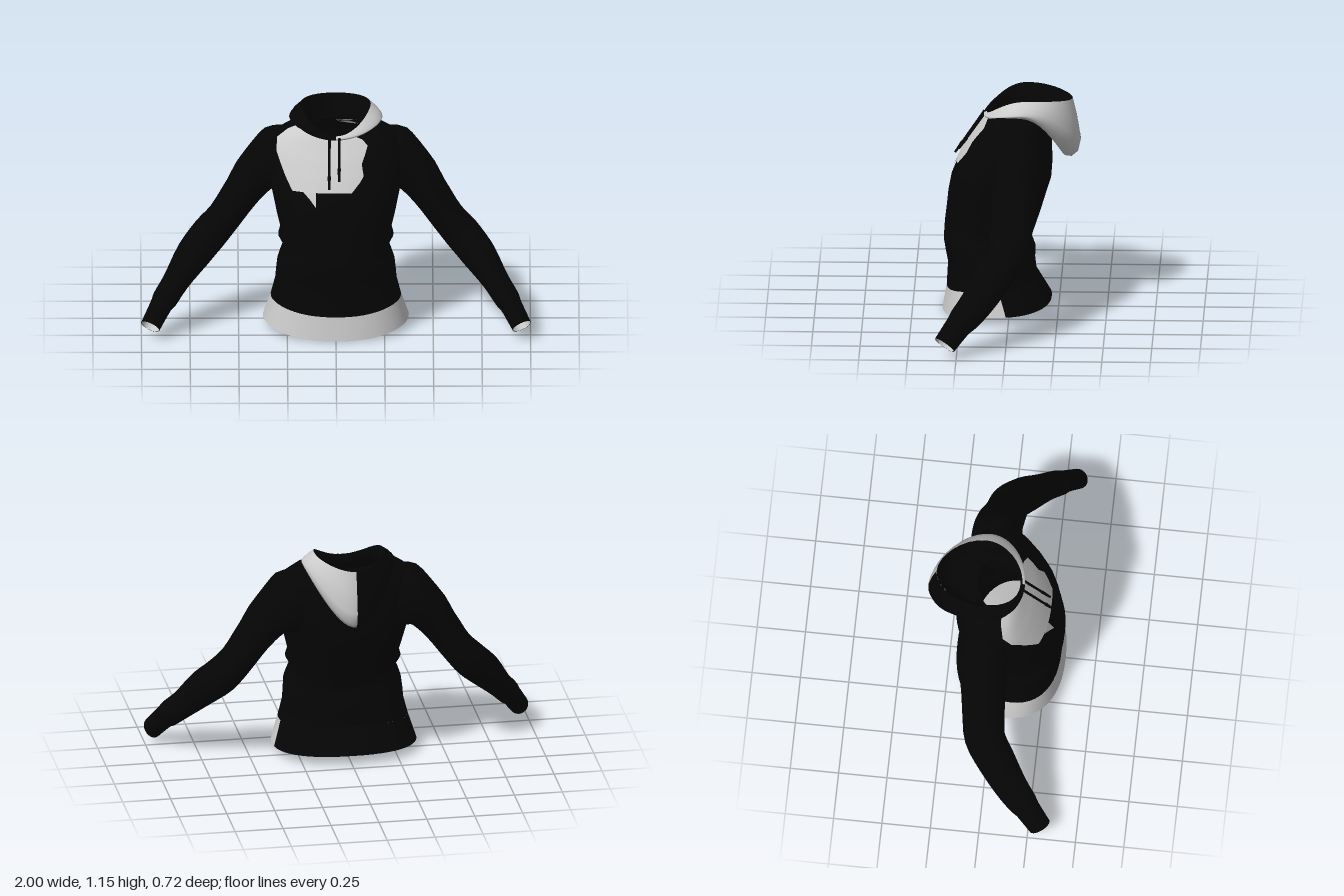
import * as THREE from 'three';

const DARK = 0x050505, GREY = 0xcccccc;
const mat = (color, side = THREE.DoubleSide) => new THREE.MeshStandardMaterial({ color, side });
const range = (a, b, n) => Array.from({ length: n + 1 }, (_, i) => a + (b - a) * i / n);
const power = (s, p) => Math.sign(s) * Math.abs(s) ** p;

// Skin a list of equally long rows of points
function loft(rows, closed = false) {
  const n = rows[0].length, index = [];
  for (let r = 0; r < rows.length - 1; r++) {
    for (let c = 0; c < (closed ? n : n - 1); c++) {
      const d = (c + 1) % n, a = r * n, b = a + n;
      index.push(a + c, a + d, b + d, a + c, b + d, b + c);
    }
  }
  const g = new THREE.BufferGeometry().setFromPoints(rows.flat());
  g.setIndex(index);
  g.computeVertexNormals();
  return g;
}

function add(group, name, geometry, color, side) {
  const m = new THREE.Mesh(geometry, mat(color, side));
  m.name = name;
  group.add(m);
  return m;
}

// Torso sections: height at the sides, half width, front z, back z, front lift, back lift
const BODY = [
  [0.045, 0.375, 0.345, -0.215, -0.045, 0.01],
  [0.17, 0.335, 0.325, -0.137, -0.045, 0.015],
  [0.26, 0.312, 0.318, -0.128, -0.01, 0],
  [0.31, 0.308, 0.33, -0.132, 0, 0],
  [0.37, 0.302, 0.34, -0.11, 0, 0],
  [0.41, 0.288, 0.338, -0.12, 0, 0],
  [0.455, 0.27, 0.335, -0.135, 0, 0],
  [0.5, 0.296, 0.33, -0.15, 0, 0],
  [0.54, 0.285, 0.325, -0.163, 0, 0],
  [0.62, 0.305, 0.317, -0.187, 0, 0],
  [0.7, 0.322, 0.302, -0.212, 0, 0],
  [0.78, 0.34, 0.268, -0.218, 0, 0],
  [0.88, 0.35, 0.215, -0.215, 0, 0],
  [0.96, 0.345, 0.17, -0.2, -0.01, 0],
  [1.02, 0.315, 0.14, -0.18, -0.03, 0],
  [1.06, 0.25, 0.125, -0.155, -0.045, -0.01],
  [1.08, 0.19, 0.115, -0.13, -0.055, -0.035],
];
const HEIGHTS = BODY.map(r => r[0]);

function section(v) {
  let i = 0;
  while (i < BODY.length - 2 && v > BODY[i + 1][0]) i++;
  const t = (v - BODY[i][0]) / (BODY[i + 1][0] - BODY[i][0]);
  return BODY[i].map((a, k) => a + (BODY[i + 1][k] - a) * t);
}

// Point on the torso; angle 0 is the front, pi/2 the model's left
function bodyPoint(angle, v, grow = 0) {
  const [y, w, zf, zb, lf, lb] = section(v);
  const c = Math.cos(angle), mid = (zf + zb) / 2;
  return new THREE.Vector3(
    (w + grow) * power(Math.sin(angle), 0.87),
    y + c * c * (c > 0 ? lf : lb),
    mid + ((zf - zb) / 2 + grow) * power(c, 0.87));
}
const bodyPatch = (angles, heights) => heights.map(v => angles.map(a => bodyPoint(a, v)));

// Point just outside the torso front at a given x
function frontPoint(x, v) {
  const s = THREE.MathUtils.clamp(x / section(v)[1], -0.99, 0.99);
  return bodyPoint(Math.asin(power(s, 1 / 0.87)), v, 0.007);
}

function buildTorso(g) {
  const full = range(0, 2 * Math.PI, 48).slice(0, -1), side = Math.PI / 2 + 0.15;
  add(g, 'torso', loft(bodyPatch(full, HEIGHTS.slice(1)), true), DARK);
  const hem = [0.045, 0.1, 0.17];
  add(g, 'hemFront', loft(bodyPatch(range(-side, side, 30), hem)), GREY);
  add(g, 'hemBack', loft(bodyPatch(range(side, 2 * Math.PI - side, 24), hem)), DARK);

  // Hem lining: turns inward from the lower edge to a smaller oval opening
  const edge = full.map(a => bodyPoint(a, 0.045, -0.002));
  const opening = full.map(a => new THREE.Vector3(
    0.22 * Math.sin(a), 0.1 - 0.025 * Math.cos(a), 0.08 + 0.165 * Math.cos(a)));
  add(g, 'hemLining', loft([opening, edge], true), GREY);

  // Chest panel: height, right edge, left edge
  const panel = [
    [0.785, -0.22, 0.08], [0.83, -0.245, 0.12], [0.86, -0.26, 0.14], [0.92, -0.285, 0.13],
    [0.96, -0.3, 0.145], [1.02, -0.295, 0.16], [1.06, -0.24, 0.13], [1.078, -0.19, 0.1],
  ];
  const tail = [[0.715, -0.102, -0.1], [0.75, -0.13, -0.1], [0.785, -0.165, -0.1]];
  for (const [name, rows] of [['chestPanel', panel], ['chestPanelTail', tail]]) {
    add(g, name, loft(rows.map(([v, a, b]) => range(a, b, 16).map(x => frontPoint(x, v)))), GREY);
  }
}

// Sleeve stations: centre x, y, z, radius across, radius in depth
const SLEEVE = [
  [0.18, 0.915, -0.04, 0.14, 0.1], [0.285, 0.865, -0.045, 0.178, 0.128],
  [0.392, 0.803, -0.042, 0.122, 0.124], [0.48, 0.69, -0.03, 0.097, 0.115],
  [0.575, 0.55, -0.02, 0.088, 0.108], [0.647, 0.467, -0.005, 0.094, 0.105],
  [0.73, 0.378, 0.06, 0.09, 0.1], [0.825, 0.255, 0.15, 0.067, 0.087],
  [0.88, 0.185, 0.215, 0.064, 0.077], [0.9, 0.158, 0.24, 0.056, 0.068],
  [0.955, 0.07, 0.31, 0.051, 0.06],
];

function sleeveRows(s, from, scale) {
  const path = new THREE.CatmullRomCurve3(SLEEVE.map(p => new THREE.Vector3(s * p[0], p[1], p[2])));
  const size = new THREE.CatmullRomCurve3(SLEEVE.map(p => new THREE.Vector3(p[3], p[4], 0)));
  return range(from, 1, Math.round(30 * (1 - from))).map(t => {
    const p = path.getPoint(t), r = size.getPoint(t), dir = path.getTangent(t);
    const b = dir.clone().cross(new THREE.Vector3(0, 0, 1)).normalize();
    const c = b.clone().cross(dir);
    return range(0, 2 * Math.PI, 24).slice(0, -1).map(a => p.clone()
      .addScaledVector(b, r.x * scale * Math.sin(a))
      .addScaledVector(c, r.y * scale * Math.cos(a)));
  });
}

// Hood rings: front y z, side x y z, back y z; from the seam over the rim to the lining
const HOOD = [
  [1.02, 0.125, 0.2, 1.055, -0.03, 1.03, -0.17],
  [1.025, 0.132, 0.22, 1.068, -0.04, 0.94, -0.235],
  [1.028, 0.134, 0.232, 1.074, -0.055, 0.845, -0.265],
  [1.03, 0.135, 0.238, 1.08, -0.062, 0.812, -0.285],
  [1.031, 0.135, 0.24, 1.084, -0.066, 0.808, -0.318],
  [1.033, 0.135, 0.238, 1.09, -0.07, 0.835, -0.35],
  [1.036, 0.133, 0.232, 1.1, -0.074, 0.9, -0.365],
  [1.04, 0.128, 0.215, 1.12, -0.08, 1.02, -0.345],
  [1.042, 0.12, 0.18, 1.146, -0.085, 1.118, -0.322],
  [1.035, 0.112, 0.162, 1.12, -0.05, 1.07, -0.295],
  [1.02, 0.11, 0.152, 1.08, -0.02, 0.98, -0.25],
  [1.0, 0.115, 0.155, 1.04, 0, 1.05, -0.11],
];
const RIM = 8;

function hoodPoint([fy, fz, sx, sy, sz, by, bz], a) {
  const c = Math.cos(a), k = Math.abs(c), front = c > 0;
  return new THREE.Vector3(
    sx * Math.sin(a) * (front ? 1 : 1 - 0.15 * k * k),
    sy + ((front ? fy : by) - sy) * k * k,
    sz + ((front ? fz : bz) - sz) * k);
}

function buildHood(g) {
  const hood = new THREE.Group();
  hood.name = 'hood';
  const part = (rings, a, b) => loft(rings.map(r => range(a, b, 32).map(t => hoodPoint(r, t))));
  add(hood, 'hoodLeft', part(HOOD.slice(0, RIM + 1), 0, Math.PI), GREY);
  add(hood, 'hoodRight', part(HOOD.slice(0, RIM + 1), Math.PI, 2 * Math.PI), DARK);
  add(hood, 'hoodLining', part(HOOD.slice(RIM), 0, 2 * Math.PI), DARK);
  g.add(hood);
}

// Straight cords hanging off the neck, with a thicker tip
function buildCords(g) {
  for (const [x, y, z] of [[-0.033, 0.81, 0.284], [0.018, 0.845, 0.262]]) {
    const top = new THREE.Vector3(x, 1.035, 0.132), end = new THREE.Vector3(x - 0.002, y, z);
    const dir = top.clone().sub(end), length = dir.length();
    const cord = new THREE.Group();
    cord.name = 'drawstring';
    cord.position.copy(end);
    cord.quaternion.setFromUnitVectors(new THREE.Vector3(0, 1, 0), dir.normalize());
    add(cord, 'cord', new THREE.CylinderGeometry(0.007, 0.006, length, 8).translate(0, length / 2, 0), DARK);
    add(cord, 'cordTip', new THREE.CylinderGeometry(0.009, 0.005, 0.07, 8).translate(0, 0.035, 0), DARK);
    g.add(cord);
  }
}

export function createModel() {
  const g = new THREE.Group();
  g.name = 'hoodedSweater';
  buildTorso(g);
  for (const [s, name] of [[1, 'left'], [-1, 'right']]) {
    add(g, name + 'Sleeve', loft(sleeveRows(s, 0, 1), true), DARK);
    add(g, name + 'CuffLining', loft(sleeveRows(s, 0.9, 0.95), true), GREY, THREE.BackSide);
  }
  buildHood(g);
  buildCords(g);
  return g;
}
